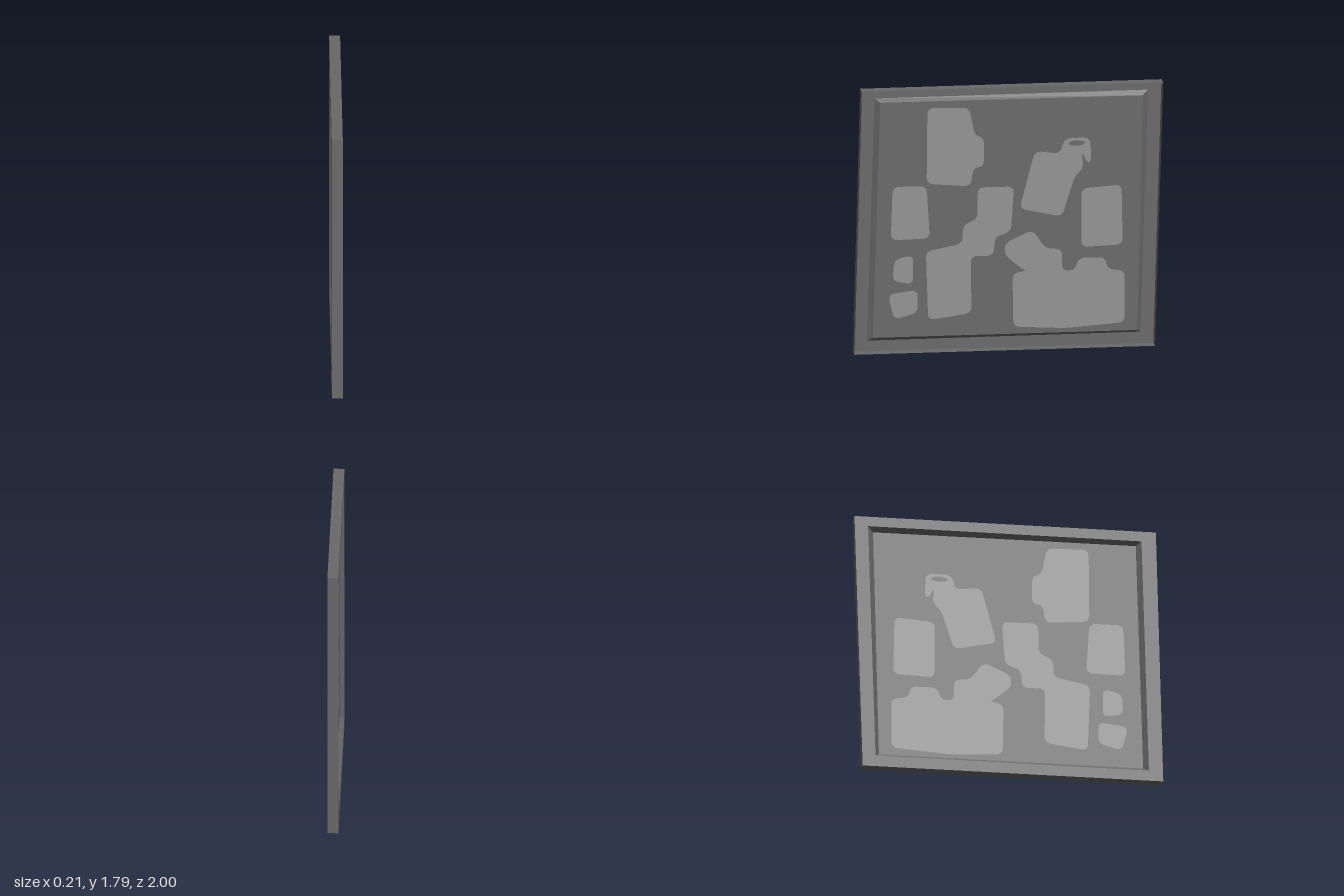
import * as THREE from 'three';

const frameGrey = new THREE.MeshStandardMaterial({ color: 0x696969, side: THREE.DoubleSide });
frameGrey.name = 'frame grey';
const patchGrey = new THREE.MeshStandardMaterial({ color: 0x949494, side: THREE.DoubleSide });
patchGrey.name = 'patch grey';

// Four-cornered outlines of the tray, in panel coordinates (across, up)
const outer = [[-0.95, 1.787], [0.998, 1.755], [0.945, 0], [-0.998, 0.035]];
const recess = [[-0.857, 1.717], [0.91, 1.69], [0.862, 0.078], [-0.905, 0.104]];
const inner = [[-0.825, 1.695], [0.873, 1.663], [0.835, 0.099], [-0.873, 0.13]];
const RIM = 0.035, PANEL = -0.005;

// Outlines of the painted patches
const patches = {
  tallPatch: [[-0.52, 1.645], [-0.25, 1.635], [-0.215, 1.45], [-0.155, 1.43], [-0.155, 1.24],
    [-0.225, 1.23], [-0.24, 1.11], [-0.525, 1.14]],
  squarePatch: [[-0.745, 1.13], [-0.525, 1.125], [-0.505, 0.775], [-0.757, 0.775]],
  smallUpperPatch: [[-0.735, 0.645], [-0.612, 0.67], [-0.612, 0.475], [-0.745, 0.5]],
  smallLowerPatch: [[-0.775, 0.415], [-0.583, 0.435], [-0.583, 0.285], [-0.735, 0.245]],
  steppedPatch: [[-0.195, 1.1], [0.04, 1.095], [0.02, 0.795], [-0.085, 0.765], [-0.09, 0.64],
    [-0.24, 0.645], [-0.235, 0.265], [-0.515, 0.23], [-0.53, 0.69], [-0.295, 0.73],
    [-0.29, 0.855], [-0.195, 0.89]],
  slantedPatch: [[0.175, 1.325], [0.34, 1.3], [0.365, 1.4], [0.53, 1.4], [0.54, 1.26],
    [0.52, 1.22], [0.475, 1.31], [0.49, 1.2], [0.43, 1.14], [0.35, 0.88], [0.075, 0.945]],
  sidePatch: [[0.475, 1.06], [0.735, 1.075], [0.742, 0.675], [0.475, 0.67]],
  widePatch: [[0.03, 0.515], [0.12, 0.53], [0.09, 0.545], [-0.02, 0.64], [-0.02, 0.72],
    [0.16, 0.8], [0.245, 0.67], [0.35, 0.665], [0.35, 0.52], [0.43, 0.515], [0.46, 0.6],
    [0.63, 0.595], [0.645, 0.515], [0.755, 0.5], [0.755, 0.155], [0.37, 0.135], [0.035, 0.16]],
};

// Closed outline with every corner rounded off
function rounded(points, radius = 0.045) {
  const shape = new THREE.Shape();
  const v = points.map(([x, y]) => new THREE.Vector2(x, y));
  v.forEach((corner, i) => {
    const ease = (other) => {
      const d = other.clone().sub(corner);
      return corner.clone().addScaledVector(d, Math.min(radius / d.length(), 0.45));
    };
    const a = ease(v[(i + v.length - 1) % v.length]);
    const b = ease(v[(i + 1) % v.length]);
    if (i === 0) shape.moveTo(a.x, a.y);
    else shape.lineTo(a.x, a.y);
    shape.quadraticCurveTo(corner.x, corner.y, b.x, b.y);
  });
  shape.closePath();
  return shape;
}

// Flat-sided band between two outlines at two depths
function band(loopA, depthA, loopB, depthB) {
  const pos = [];
  loopA.forEach((a, i) => {
    const j = (i + 1) % loopA.length;
    const p = [...a, depthA], q = [...loopA[j], depthA];
    const r = [...loopB[j], depthB], s = [...loopB[i], depthB];
    pos.push(...p, ...s, ...r, ...p, ...r, ...q);
  });
  const g = new THREE.BufferGeometry();
  g.setAttribute('position', new THREE.Float32BufferAttribute(pos, 3));
  g.computeVertexNormals();
  return g;
}

export function createModel() {
  const group = new THREE.Group();
  group.name = 'framedPanel';

  // Turn the panel plane to stand along z, swung slightly about the vertical
  const t = 0.068;
  const place = new THREE.Matrix4().makeBasis(
    new THREE.Vector3(t, 0, -1), new THREE.Vector3(0, 1, 0), new THREE.Vector3(1, 0, t));
  const add = (name, geometry, material) => {
    geometry.applyMatrix4(place);
    const mesh = new THREE.Mesh(geometry, material);
    mesh.name = name;
    group.add(mesh);
  };

  // Frame: open-backed rim, flat border and sloped recess
  add('frameRim', band(outer, RIM, outer, -RIM), frameGrey);
  add('frameBorder', band(outer, -RIM, recess, -RIM), frameGrey);
  add('recessSlope', band(recess, -RIM, inner, PANEL), frameGrey);

  // Panel sheet, cut out where the patches sit
  const sheet = new THREE.Shape(inner.map(([x, y]) => new THREE.Vector2(x, y)));
  const slot = new THREE.Shape().absellipse(0.445, 1.365, 0.055, 0.018, 0, Math.PI * 2);
  for (const [name, points] of Object.entries(patches)) {
    const shape = rounded(points);
    sheet.holes.push(new THREE.Path(shape.getPoints(6)));
    if (name === 'slantedPatch') shape.holes.push(slot);
    add(name, new THREE.ShapeGeometry(shape, 6).translate(0, 0, PANEL), patchGrey);
  }
  add('panelSheet', new THREE.ShapeGeometry(sheet, 6).translate(0, 0, PANEL), frameGrey);
  add('patchSlot', new THREE.ShapeGeometry(slot, 6).translate(0, 0, PANEL), frameGrey);

  return group;
}
